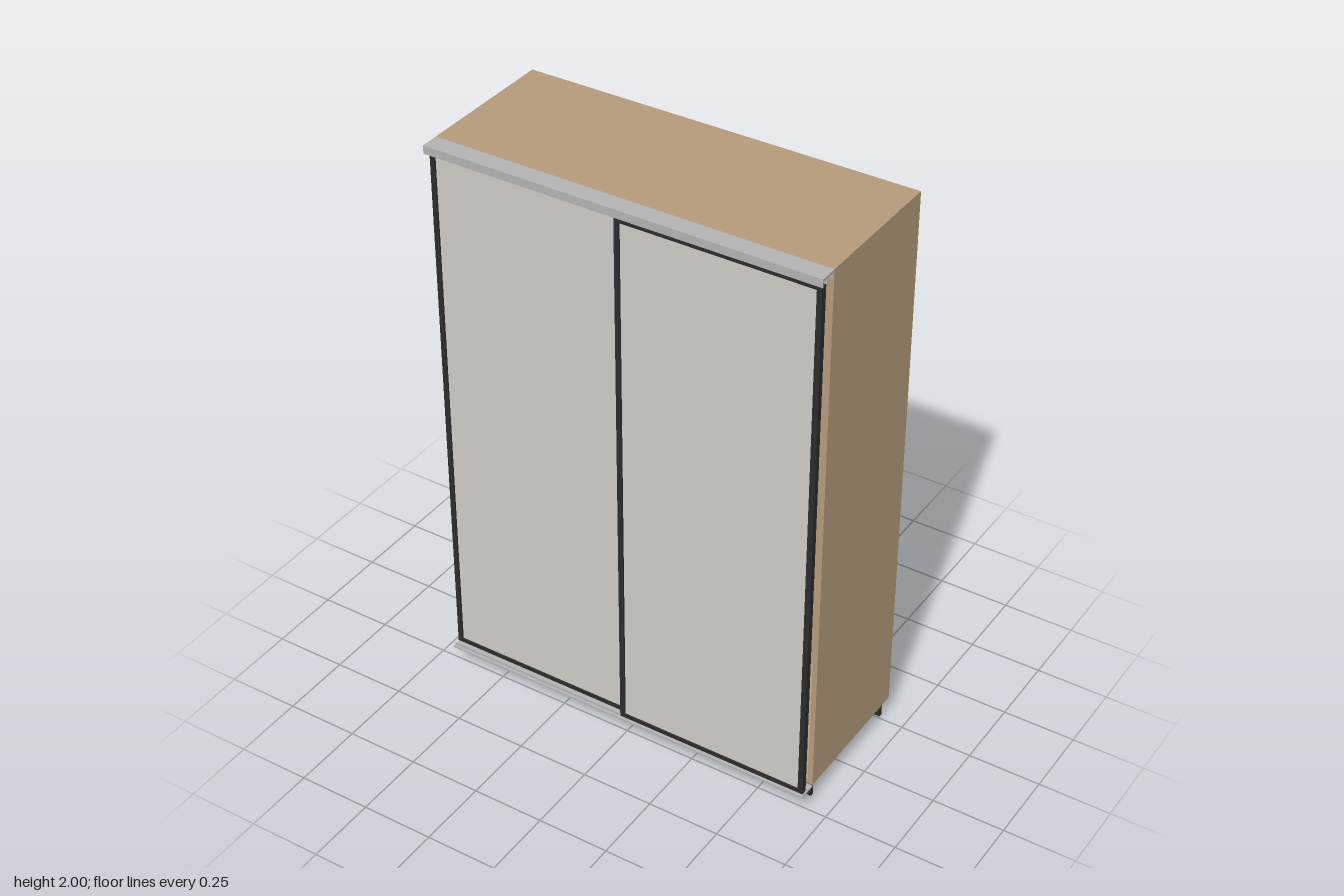
import * as THREE from 'three';

const material = (color) => new THREE.MeshStandardMaterial({ color });

export function createModel() {
  const wood = material(0xb59b7b);
  const dark = material(0x2b2c2b);
  const metal = material(0xb3b3b3);
  const panel = material(0xcfcbc5);

  const model = new THREE.Group();
  model.name = 'slidingDoorWardrobe';

  // Box given by its lower and upper limits on each axis
  const slab = (parent, name, mat, [x0, x1], [y0, y1], [z0, z1]) => {
    const mesh = new THREE.Mesh(new THREE.BoxGeometry(x1 - x0, y1 - y0, z1 - z0), mat);
    mesh.position.set((x0 + x1) / 2, (y0 + y1) / 2, (z0 + z1) / 2);
    mesh.name = name;
    parent.add(mesh);
  };
  const group = (name) => {
    const g = new THREE.Group();
    g.name = name;
    model.add(g);
    return g;
  };

  const W = 0.68, BACK = -0.28, FRONT = 0.217, BASE = 0.076, T = 0.018;

  // Carcass: sides, top, bottom and a slightly inset back
  const carcass = group('carcass');
  slab(carcass, 'leftSide', wood, [W - T, W], [BASE, 2], [BACK, FRONT]);
  slab(carcass, 'rightSide', wood, [-W, -W + T], [BASE, 2], [BACK, FRONT]);
  slab(carcass, 'topPanel', wood, [-W + T, W - T], [2 - T, 2], [BACK, FRONT]);
  slab(carcass, 'bottomPanel', wood, [-W + T, W - T], [BASE, BASE + T], [BACK, FRONT]);
  slab(carcass, 'backPanel', wood, [-W + T, W - T], [BASE + T, 2 - T], [BACK + 0.002, BACK + 0.01]);

  // Plinth boards below the carcass
  const plinth = group('plinth');
  slab(plinth, 'frontPlinth', dark, [-0.662, 0.662], [0, BASE], [0.179, 0.192]);
  slab(plinth, 'backPlinth', dark, [-0.662, 0.662], [0, BASE], [-0.27, -0.257]);

  // Upper track: a channel with lips that hang between the doors
  const upper = group('upperTrack');
  slab(upper, 'trackPlate', metal, [-W, W], [1.99, 2], [FRONT, 0.28]);
  for (const [z0, z1] of [[FRONT, 0.221], [0.2545, 0.2565], [0.277, 0.28]]) {
    slab(upper, 'trackLip', metal, [-W, W], [1.972, 1.99], [z0, z1]);
  }

  // Lower track: a thin plate with a guide rib under each door
  const lower = group('lowerTrack');
  slab(lower, 'trackPlate', metal, [-W, W], [0.068, 0.074], [FRONT, 0.28]);
  for (const z of [0.244, 0.268]) {
    slab(lower, 'guideRib', metal, [-W, W], [0.074, 0.082], [z - 0.002, z + 0.002]);
  }

  // Sliding doors: dark frame around a recessed panel, overlapping at the middle
  const addDoor = (name, x0, x1, z) => {
    const door = group(name);
    const y0 = 0.082, y1 = 1.972, stile = 0.018, rail = 0.014, d = 0.01;
    slab(door, 'stile', dark, [x0, x0 + stile], [y0, y1], [z - d, z + d]);
    slab(door, 'stile', dark, [x1 - stile, x1], [y0, y1], [z - d, z + d]);
    slab(door, 'bottomRail', dark, [x0 + stile, x1 - stile], [y0, y0 + rail], [z - d, z + d]);
    slab(door, 'topRail', dark, [x0 + stile, x1 - stile], [y1 - rail, y1], [z - d, z + d]);
    slab(door, 'doorPanel', panel, [x0 + stile, x1 - stile], [y0 + rail, y1 - rail], [z - 0.005, z + 0.005]);
  };
  addDoor('rightRearDoor', -0.678, 0.009, 0.244);
  addDoor('leftFrontDoor', -0.009, 0.678, 0.267);

  return model;
}
